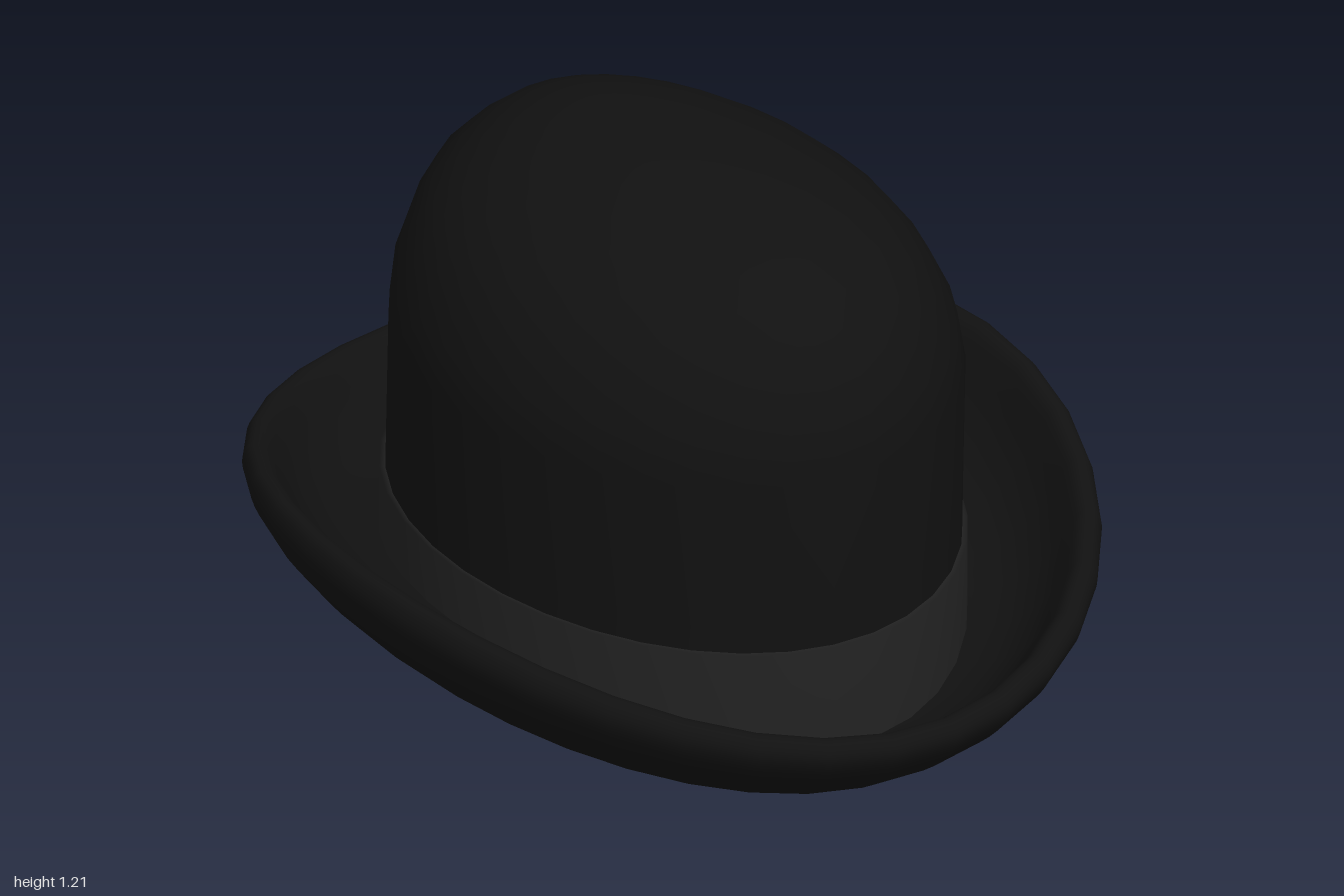
import * as THREE from 'three';

const SEGMENTS = 36;

// Value around the hat from its front, side and back values (c = cosine from the front).
const around = (front, side, back, c) =>
  side + c * (front - back) / 2 + c * c * ((front + back) / 2 - side);

// Point on an oval given its half width and its front and back z.
const oval = (halfWidth, front, back, y) => (s, c) =>
  [halfWidth * s, y(c), (front + back) / 2 + c * (front - back) / 2];

// Skin a stack of closed rings; each ring maps (sin, cos) to a point.
function loft(name, rings, material) {
  const positions = [], index = [];
  rings.forEach((ring, i) => {
    for (let j = 0; j < SEGMENTS; j++) {
      const angle = j / SEGMENTS * Math.PI * 2;
      positions.push(...ring(Math.sin(angle), Math.cos(angle)));
      if (i === rings.length - 1) continue;
      const a = i * SEGMENTS + j, b = i * SEGMENTS + (j + 1) % SEGMENTS;
      index.push(a, b, b + SEGMENTS, a, b + SEGMENTS, a + SEGMENTS);
    }
  });
  const geometry = new THREE.BufferGeometry();
  geometry.setAttribute('position', new THREE.Float32BufferAttribute(positions, 3));
  geometry.setIndex(index);
  geometry.computeVertexNormals();
  const mesh = new THREE.Mesh(geometry, material);
  mesh.name = name;
  return mesh;
}

export function createModel() {
  const hat = new THREE.Group();
  hat.name = 'bowlerHat';
  const felt = new THREE.MeshStandardMaterial({ color: 0x111111, side: THREE.DoubleSide });
  const ribbon = new THREE.MeshStandardMaterial({ color: 0x222222, side: THREE.DoubleSide });

  const openingY = c => around(0, 0.11, 0.06, c);
  const rimY = c => around(0.24, 0.47, 0.32, c);

  // Crown: open below, [half width, front z, back z, height]
  const crown = [
    [0.57, 0.705, -0.69, 0.4], [0.57, 0.715, -0.68, 0.75], [0.552, 0.7, -0.672, 0.86],
    [0.505, 0.66, -0.645, 0.96], [0.455, 0.61, -0.612, 1.03], [0.395, 0.54, -0.56, 1.085],
    [0.325, 0.455, -0.505, 1.13], [0.25, 0.36, -0.44, 1.165], [0.17, 0.22, -0.36, 1.19],
    [0.09, 0.03, -0.28, 1.202], [0, -0.14, -0.14, 1.207],
  ].map(([w, f, b, y]) => oval(w, f, b, () => y));
  hat.add(loft('crown', [oval(0.57, 0.705, -0.695, openingY), ...crown], felt));

  // Brim: one section, from the opening under and round the rolled rim and back to the crown
  const section = new THREE.CatmullRomCurve3([
    [0, 0], [0.31, 0.08], [0.72, 0.4], [0.94, 0.68], [1, 0.86], [0.95, 0.98],
    [0.85, 0.98], [0.75, 0.85], [0.62, 0.65], [0.42, 0.46], [0.2, 0.36], [0, 0.32],
  ].map(([u, v]) => new THREE.Vector3(u, v, 0)));
  const brim = section.getPoints(33).map(({ x: u, y: v }) => oval(
    THREE.MathUtils.lerp(0.57, 0.875, u),
    THREE.MathUtils.lerp(0.705, 1, u),
    THREE.MathUtils.lerp(-0.695, -1, u),
    c => THREE.MathUtils.lerp(openingY(c), rimY(c), v)));
  hat.add(loft('brim', brim, felt));

  // Ribbon band round the foot of the crown
  const bandTop = c => around(0.33, 0.365, 0.36, c);
  hat.add(loft('band', [
    oval(0.58, 0.718, -0.708, c => openingY(c) + 0.06),
    oval(0.58, 0.718, -0.708, bandTop),
    oval(0.565, 0.7, -0.685, bandTop),
  ], ribbon));

  return hat;
}
